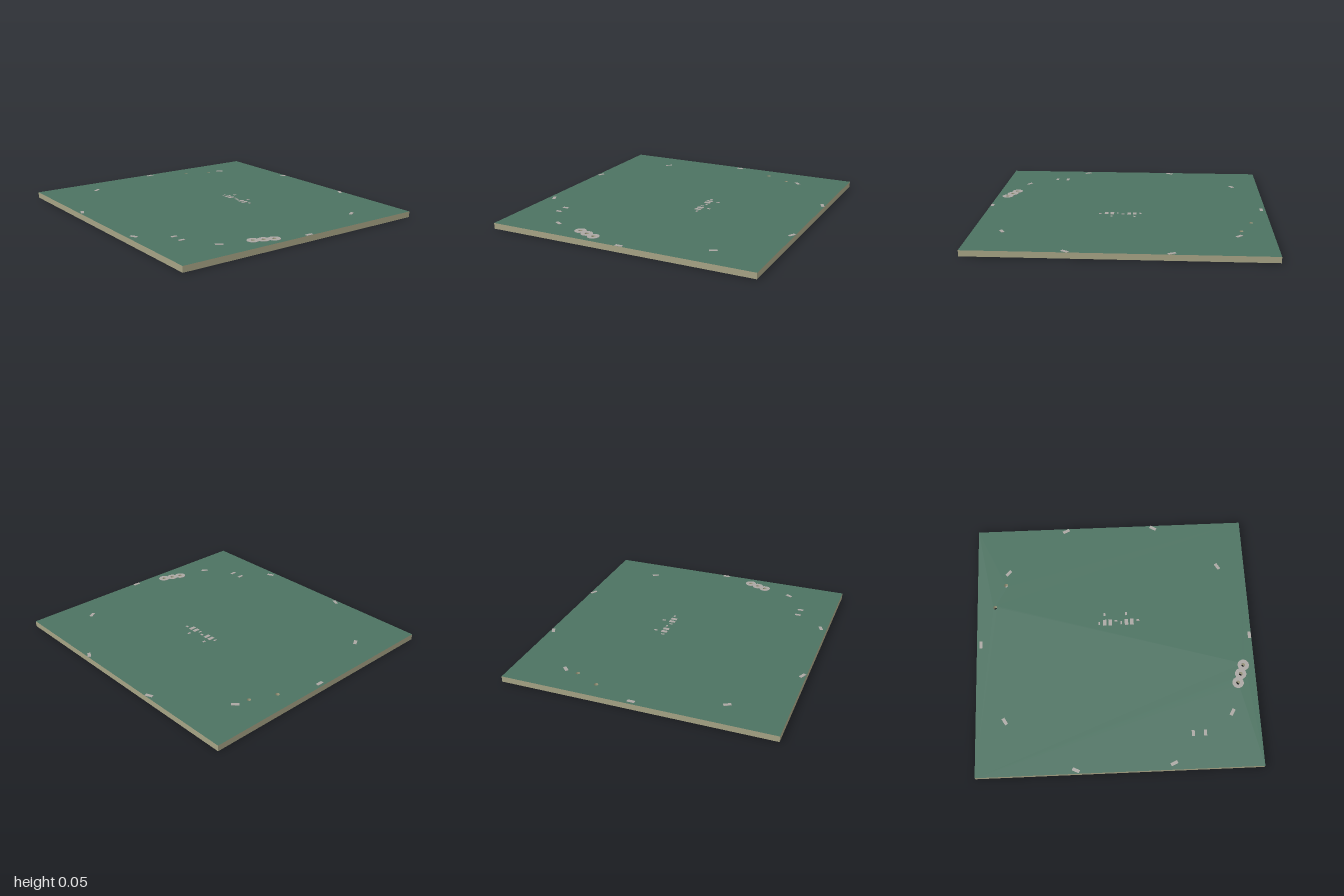
import * as THREE from 'three';

const mat = (name, color) => new THREE.MeshStandardMaterial({ name, color });

export function createModel() {
  const green = mat('solderMaskGreen', 0x4c7261);
  const tan = mat('boardEdgeTan', 0xa5a284);
  const metal = mat('padGrey', 0xaaa6a2);
  const model = new THREE.Group();
  model.name = 'circuitBoard';

  const W = 1, D = 0.945, LOW = 0.002, HIGH = 0.043, FOIL = 0.002;
  const plated = [[0.92, 0.21], [0.895, 0.275], [0.87, 0.34]];
  const bare = [[-0.79, -0.49], [-0.87, -0.315]];

  const circle = (Type, x, z, r) => new Type().absarc(x, -z, r, 0, Math.PI * 2, false);
  const extrudeUp = (shape, depth, y) =>
    new THREE.ExtrudeGeometry(shape, { depth, bevelEnabled: false, curveSegments: 12 })
      .rotateX(-Math.PI / 2).translate(0, y, 0);

  // Board with drilled holes: green faces, tan cut edges
  const outline = new THREE.Shape([[-W, -D], [W, -D], [W, D], [-W, D]].map(p => new THREE.Vector2(...p)));
  for (const [x, z] of [...plated, ...bare]) outline.holes.push(circle(THREE.Path, x, z, 0.014));
  const board = new THREE.Mesh(extrudeUp(outline, HIGH - LOW, LOW), [green, tan]);
  board.name = 'board';
  model.add(board);

  // Groups for pads on the two faces, with optional position and turn
  const group = (name, y, x = 0, z = 0, turn = 0) => {
    const g = new THREE.Group();
    g.name = name;
    g.position.set(x, y, z);
    g.rotation.y = turn;
    model.add(g);
    return g;
  };
  const TOP = HIGH + FOIL / 2, BOTTOM = LOW - FOIL / 2;
  const pad = (parent, x, z, w, d, turn = 0, name = 'pad') => {
    const m = new THREE.Mesh(new THREE.BoxGeometry(w, FOIL, d), metal);
    m.name = name;
    m.position.set(x, 0, z);
    m.rotation.y = turn;
    parent.add(m);
  };

  // Ring pads on both faces around the three plated holes
  for (const [x, z] of plated) {
    const ring = circle(THREE.Shape, x, z, 0.041);
    ring.holes.push(circle(THREE.Path, x, z, 0.014));
    for (const y of [HIGH, 0]) {
      const m = new THREE.Mesh(extrudeUp(ring, FOIL, y), metal);
      m.name = 'ringPad';
      model.add(m);
    }
  }

  // Slanted pads in a circle round the top face
  const rim = group('rimPads', TOP);
  const deg = Math.PI / 180;
  for (const [x, z, a] of [
    [-0.33, -0.925, 25], [0.335, -0.925, -30], [-0.77, -0.59, 45], [0.8, -0.58, -60],
    [-0.97, -0.025, 90], [0.987, -0.02, 90], [-0.795, 0.555, -60], [0.81, 0.555, 60],
    [-0.305, 0.92, -25], [0.375, 0.9, 25],
  ]) pad(rim, x, z, 0.052, 0.023, a * deg);

  // Small component pads near the middle of the top face
  const middle = group('middlePads', TOP);
  for (const x of [-0.065, -0.025, 0.095, 0.135]) pad(middle, x, -0.16, 0.026, 0.046);
  for (const x of [0.018, 0.18]) pad(middle, x, -0.172, 0.02, 0.014);
  for (const x of [-0.105, 0.057]) pad(middle, x, -0.155, 0.012, 0.024);
  for (const x of [-0.065, 0.095]) pad(middle, x, -0.225, 0.014, 0.024);

  // Pair of pads at the front of the top face
  const pair = group('frontPads', TOP);
  for (const x of [0.522, 0.607]) pad(pair, x, 0.695, 0.021, 0.043);

  // Module footprint underneath: outline and edge pads
  const chip = group('moduleFootprint', BOTTOM);
  for (const z of [-0.285, 0.195]) pad(chip, 0.476, z, 0.5, 0.004, 0, 'outline');
  for (const x of [0.226, 0.726]) pad(chip, x, -0.045, 0.004, 0.48, 0, 'outline');
  for (let i = 0; i < 11; i++) {
    pad(chip, 0.705, -0.24 + i * 0.04, 0.036, 0.02);
    pad(chip, 0.27 + i * 0.04, -0.265, 0.02, 0.036);
  }
  for (let i = 0; i < 4; i++) pad(chip, 0.6 + i * 0.035, 0.178, 0.018, 0.03);

  // Turned connector footprint underneath: bracket and two rows of pads
  const plug = group('connectorFootprint', BOTTOM, 0.533, -0.672, 2.44);
  pad(plug, 0, 0.03, 0.31, 0.005, 0, 'outline');
  for (const x of [-0.155, 0.155]) pad(plug, x, -0.035, 0.005, 0.13, 0, 'outline');
  for (const x of [-0.075, -0.025, 0.025, 0.075])
    for (const z of [0.02, -0.06]) pad(plug, x, z, 0.026, 0.06);

  // Power part footprint underneath, large pads
  const power = group('powerPads', BOTTOM);
  for (const [x, z, w, d] of [
    [-0.468, -0.654, 0.06, 0.04], [-0.583, -0.711, 0.07, 0.05], [-0.542, -0.542, 0.05, 0.035],
    [-0.63, -0.565, 0.05, 0.035], [-0.674, -0.614, 0.05, 0.035], [-0.53, -0.65, 0.03, 0.04],
  ]) pad(power, x, z, w, d, 0.7);

  // Small component pads underneath, in pairs
  const small = group('smallPads', BOTTOM);
  for (const [x, z] of [[-0.47, -0.33], [-0.52, -0.39], [-0.63, -0.19], [-0.6, -0.28], [-0.68, -0.25]])
    for (const s of [-0.024, 0.024]) pad(small, x + s, z, 0.026, 0.032);

  // Switch footprint beside the two bare holes
  const toggle = group('switchFootprint', BOTTOM, -0.83, -0.4, 1.995);
  pad(toggle, 0, -0.055, 0.19, 0.005, 0, 'outline');
  for (const x of [-0.12, -0.04, 0.08]) pad(toggle, x, 0.075, 0.025, 0.05);
  for (const x of [-0.15, 0.15]) pad(toggle, x, 0.03, 0.03, 0.035);

  // Two rows of edge pads underneath
  const edge = group('edgePads', BOTTOM);
  for (const z of [-0.12, -0.02, 0.085])
    for (const x of [-0.925, -0.84]) pad(edge, x, z, 0.06, 0.05);

  return model;
}
